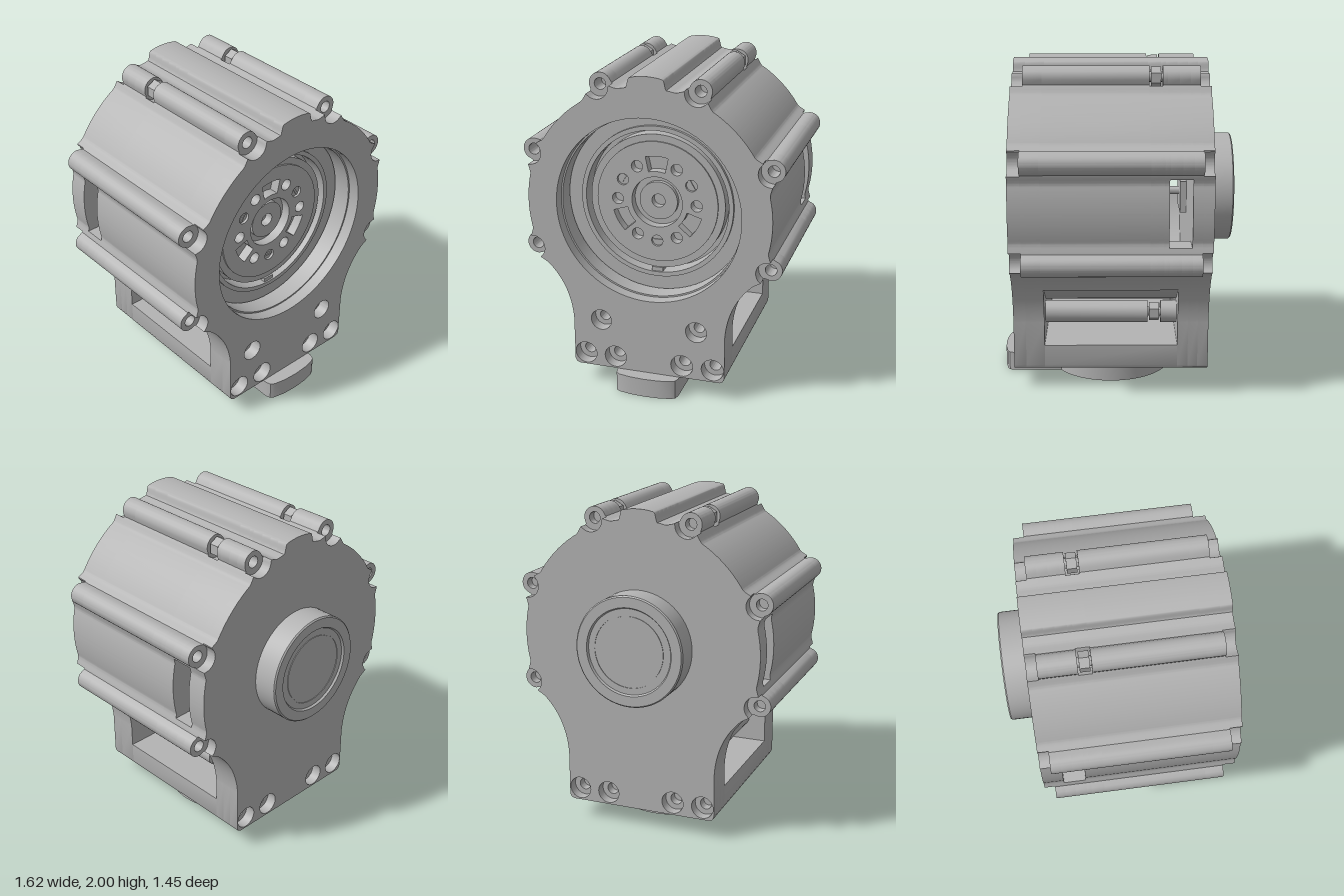
import * as THREE from 'three';
import { toCreasedNormals } from 'three/addons/utils/BufferGeometryUtils.js';

const grey = new THREE.MeshStandardMaterial({ color: 0xb4b4b4 });
grey.name = 'grey metal';
const R = 0.757, LUG = 0.8, DEG = Math.PI / 180;
const V = (x, y) => new THREE.Vector2(x, y);
const lugAngles = [-22.4, 22.4, 67.6].map(a => a * DEG);
const lugs = lugAngles.flatMap(a => [-1, 1].map(s => [s * LUG * Math.cos(a), LUG * Math.sin(a)]));
const screws = [-0.41, -0.215, 0.215, 0.41].map(x => [x, -0.98]);
const rods = [[-0.305, -0.74], [0.305, -0.74]];

function add(group, name, geo, x = 0, y = 0, z = 0, crease = 0.6) {
  const m = new THREE.Mesh(toCreasedNormals(geo, crease), grey);
  m.name = name;
  m.position.set(x, y, z);
  group.add(m);
  return m;
}
function slab(group, name, pts, z0, z1, holes = []) {
  const s = new THREE.Shape(pts);
  for (const [x, y, r] of holes) s.holes.push(new THREE.Path().absarc(x, y, r, 0, Math.PI * 2, true));
  const geo = new THREE.ExtrudeGeometry(s, { depth: z1 - z0, bevelEnabled: false, curveSegments: r72(holes) });
  return add(group, name, geo, 0, 0, z0);
}
// finer segments when a slab has the big bore
const r72 = holes => (holes.some(h => h[2] > 0.3) ? 40 : 14);
function lathe(group, name, pts) {
  return add(group, name, new THREE.LatheGeometry(pts.map(p => V(...p)), 72).rotateX(Math.PI / 2));
}
function rod(group, name, r, z0, z1, x, y, sides = 32) {
  return add(group, name, new THREE.CylinderGeometry(r, r, z1 - z0, sides).rotateX(Math.PI / 2), x, y, (z0 + z1) / 2);
}
function arc(r, a0, a1, n = 64) {
  return Array.from({ length: n + 1 }, (_, i) => {
    const a = a0 + (a1 - a0) * i / n;
    return V(r * Math.cos(a), r * Math.sin(a));
  });
}

// Radius of the housing at an angle: round body, top rib, and a lug or notch at each bolt
function radiusAt(a, mode) {
  let r = R;
  const x = R * 1.07 * Math.cos(a);
  const t = THREE.MathUtils.smoothstep(x, 0.1, 0.132);
  r += (1 - t) * (0.82 - 0.6 * x * x - R);
  lugAngles.forEach((la, i) => {
    const d = Math.abs(a - la);
    if (d < 0.17) r = Math.max(r, R + 0.04 * THREE.MathUtils.smoothstep(0.17 - d, 0, 0.12));
    const notch = mode === 'end' || (mode === 'groove' && i === 2);
    const rad = notch ? 0.075 : 0.068;
    const q = rad * rad - (LUG * Math.sin(d)) ** 2;
    if (d < 0.2 && q > 0) {
      r = notch ? Math.min(r, LUG * Math.cos(d) - Math.sqrt(q)) : Math.max(r, LUG * Math.cos(d) + Math.sqrt(q));
    }
  });
  return r;
}
// Right half of the outline, bottom to top, about the motor axis
function halfOutline(mode) {
  const pts = [V(0, -1.06), V(0.455, -1.06), V(0.476, -1.051), V(0.485, -1.03)];
  pts.push(...new THREE.QuadraticBezierCurve(V(0.485, -0.75), V(0.5, -0.53), V(0.647, -0.393)).getPoints(24));
  const a0 = -31 * DEG, n = 260;
  for (let i = 0; i <= n; i++) {
    const a = a0 + (Math.PI / 2 - a0) * i / n, r = radiusAt(a, mode);
    pts.push(V(r * Math.cos(a), r * Math.sin(a)));
  }
  return pts;
}
const mirror = pts => pts.map(p => V(-p.x, p.y)).reverse();
function band(mode, lo, hi) {
  return halfOutline(mode).filter(p => p.y >= lo && p.y <= hi);
}
const closed = pts => [...pts, ...mirror(pts).filter(p => Math.abs(p.x) > 1e-6)];

const POCKET = 0.72, BORE = 0.62, LOW = -0.525;
const pocketAngle = Math.asin(-0.52 / POCKET);
const pocketArc = () => arc(POCKET, -Math.PI - pocketAngle, pocketAngle);
const at = (pts, r) => pts.map(([x, y]) => [x, y, r]);

function housing(g) {
  const full = mode => closed(halfOutline(mode));
  const bore = r => [[0, 0, r]];
  // front face, then the wall behind it with smaller bolt holes
  slab(g, 'frontPlate', full('end'), 0.555, 0.63, [...bore(0.575), ...at(screws, 0.07), ...at(rods, 0.066)]);
  slab(g, 'frontWall', full('lug'), 0.44, 0.555, [...bore(0.565), ...at(screws, 0.036), ...at(rods, 0.034), ...at(lugs, 0.035)]);
  // shell above the open pocket
  for (const [z0, z1, mode] of [[-0.2, 0.44, 'lug'], [-0.28, -0.2, 'groove'], [-0.31, -0.28, 'lug']]) {
    slab(g, 'shell', [...closed(band(mode, LOW, 2)), ...pocketArc()], z0, z1, bore(BORE));
  }
  // shell with a slot on each side
  const aHi = Math.asin(0.205 / BORE), aLo = Math.asin(-0.2 / BORE);
  for (const [z0, z1, open] of [[-0.38, -0.31, true], [-0.445, -0.38, false]]) {
    slab(g, 'slotTop', [...closed(band('lug', 0.205, 2)), ...arc(BORE, Math.PI - aHi, aHi)], z0, z1);
    const side = band('lug', open ? LOW : -2, -0.2);
    const inner = arc(BORE, aLo, -Math.PI - aLo);
    slab(g, 'slotBottom', [...side, ...inner, ...mirror(side), ...(open ? pocketArc() : [])], z0, z1);
  }
  // back wall and back face
  slab(g, 'backWall', full('lug'), -0.505, -0.445, [...at(screws, 0.036), ...at(lugs, 0.035)]);
  slab(g, 'backPlate', full('end'), -0.57, -0.505, at(screws, 0.07));
  // floor under the pocket
  const edge = [V(0, -1.06), V(0.455, -1.06), V(0.476, -1.051), V(0.485, -1.03), V(0.485, -0.9), V(0, -0.9)];
  slab(g, 'pocketFloor', closed(edge), -0.38, 0.44);
  // spacer rods and captive nuts
  for (const s of [-1, 1]) {
    rod(g, 'spacerRod', 0.07, -0.2, 0.44, s * 0.305, -0.74);
    rod(g, 'spacerRodEnd', 0.07, -0.38, -0.28, s * 0.305, -0.74);
    for (const y of [0.74, -0.74]) {
      rod(g, 'nut', 0.06, -0.27, -0.21, s * 0.305, y, 6);
      rod(g, 'bolt', 0.03, -0.3, -0.18, s * 0.305, y, 16);
    }
  }
}

function motor(g) {
  // body with a stepped front and an annular gap round the output disc
  lathe(g, 'motorBody', [[0, -0.3], [0.6, -0.3], [0.6, 0.43], [0.48, 0.43], [0.48, 0.45], [0.452, 0.45],
    [0.452, 0.34], [0.425, 0.34], [0.425, 0.43], [0.38, 0.43], [0.38, 0.38], [0.16, 0.38], [0.12, 0.38],
    [0.12, 0.41], [0.042, 0.41], [0.042, 0.36], [0, 0.36]]);
  // output disc with bolt holes and three windows
  const disc = new THREE.Shape().absarc(0, 0, 0.382, 0, Math.PI * 2);
  const hole = (x, y, r) => disc.holes.push(new THREE.Path().absarc(x, y, r, 0, Math.PI * 2, true));
  hole(0, 0, 0.16);
  for (const d of [0, 30, 60, 120, 150, 180, 240, 270, 300]) {
    const a = d * DEG, x = 0.25 * Math.cos(a), y = 0.25 * Math.sin(a);
    hole(x, y, 0.036);
    if (d === 30 || d === 150 || d === 270) {
      rod(g, 'discScrew', 0.035, 0.38, 0.425, x, y, 20);
      add(g, 'screwRib', new THREE.BoxGeometry(0.06, 0.014, 0.008), x, y, 0.428).rotation.z = a + Math.PI / 2;
    }
  }
  for (const d of [90, 210, 330]) {
    const a = d * DEG;
    disc.holes.push(new THREE.Path([...arc(0.29, a - 0.25, a + 0.25, 8), ...arc(0.195, a + 0.27, a - 0.27, 8)]));
  }
  add(g, 'outputDisc', new THREE.ExtrudeGeometry(disc, { depth: 0.06, bevelEnabled: false, curveSegments: 32 }), 0, 0, 0.38);
  add(g, 'stopTab', new THREE.BoxGeometry(0.07, 0.03, 0.08), 0, -0.44, 0.4);
  // small sensor board visible through the side slots
  add(g, 'sensorBoard', new THREE.BoxGeometry(0.3, 0.2, 0.04), 0, -0.04, -0.425);
  rod(g, 'sensorShaft', 0.025, -0.42, -0.29, 0, -0.03, 20);
}

function rearBoss(g) {
  lathe(g, 'rearBoss', [[0, -0.712], [0.215, -0.712], [0.215, -0.708], [0.222, -0.708], [0.222, -0.712],
    [0.262, -0.712], [0.27, -0.725], [0.332, -0.725], [0.34, -0.717], [0.34, -0.565]]);
}

function outputHorn(g) {
  // round disc with an arm reaching forward, lying under the housing
  const cz = 0.03, r = 0.38, a = Math.acos(0.2 / r);
  const pts = arc(r, Math.PI - a, Math.PI * 2 + a, 60).map(p => V(p.x, p.y + cz));
  pts.push(V(0.2, 0.655), V(0.19, 0.685), V(0.165, 0.7));
  pts.push(V(0.09, 0.715), V(0, 0.72), V(-0.09, 0.715));
  pts.push(V(-0.165, 0.7), V(-0.19, 0.685), V(-0.2, 0.655));
  const holes = [[0, cz, 0.075]];
  for (let i = 0; i < 6; i++) {
    const b = i * Math.PI / 3 + Math.PI / 6;
    holes.push([0.24 * Math.cos(b), cz + 0.24 * Math.sin(b), 0.027]);
  }
  const m = slab(g, 'outputHorn', pts, 0, 0.12, holes);
  m.rotation.x = Math.PI / 2;
  m.position.set(0, 0.12, 0);
}

export function createModel() {
  const model = new THREE.Group();
  model.name = 'actuator';
  for (const [name, build, y] of [['housing', housing, 1.18], ['motor', motor, 1.18], ['rearBoss', rearBoss, 1.18], ['horn', outputHorn, 0]]) {
    const g = new THREE.Group();
    g.name = name;
    g.position.y = y;
    build(g);
    model.add(g);
  }
  return model;
}
